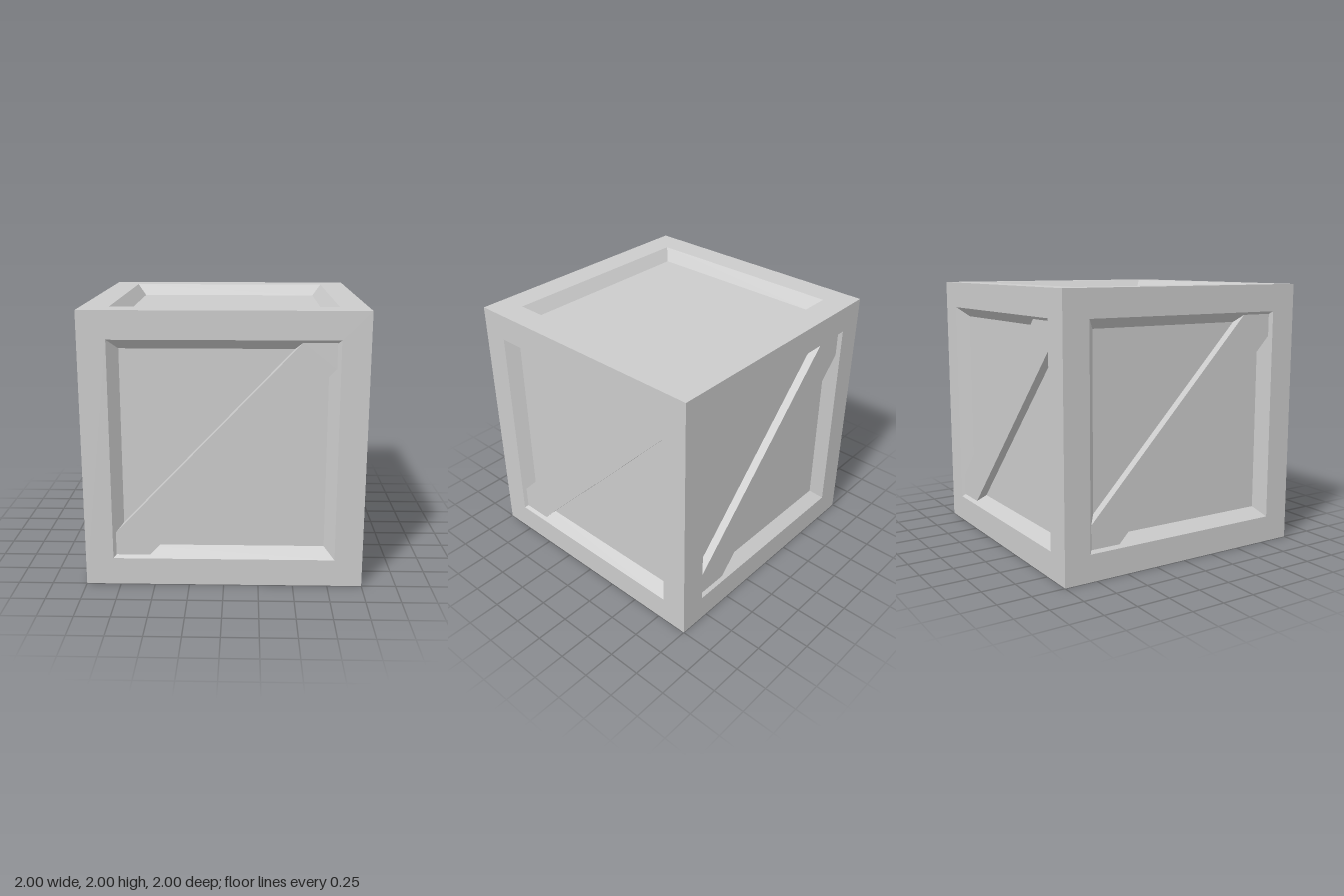
import * as THREE from 'three';

const material = new THREE.MeshStandardMaterial({ color: 0xcccccc, flatShading: true });

const OPENING = 0.8;   // half width of the opening in each frame
const PANEL = 0.727;   // half width of the sunken panel
const FLOOR = 0.913;   // distance of the panel from the crate centre
const BRACE_TOP = 0.976;

// Diagonal brace outlines, relative to the face centre
const frontBrace = [[-0.78, -0.78], [-0.537, -0.78], [0.775, 0.6], [0.775, 0.785], [0.545, 0.785], [-0.78, -0.61]];
const sideBrace = [[-0.785, -0.78], [-0.55, -0.78], [0.78, 0.615], [0.78, 0.785], [0.54, 0.785], [-0.785, -0.61]];

function addMesh(parent, name, geometry) {
  const mesh = new THREE.Mesh(geometry, material);
  mesh.name = name;
  parent.add(mesh);
}

// One face looking along +z: flat border, sloped recess walls, sunken panel, optional brace
function createFace(name, braceOutline) {
  const face = new THREE.Group();
  face.name = name;

  // A four-sided lathe makes the square border and its bevel
  const profile = [[1, 1], [OPENING, 1], [PANEL, FLOOR]]
    .map(([r, h]) => new THREE.Vector2(r * Math.SQRT2, h));
  addMesh(face, 'frame', new THREE.LatheGeometry(profile, 4, Math.PI / 4).rotateX(Math.PI / 2));

  addMesh(face, 'panel', new THREE.PlaneGeometry(PANEL * 2, PANEL * 2).translate(0, 0, FLOOR));

  if (braceOutline) {
    const shape = new THREE.Shape(braceOutline.map(([x, y]) => new THREE.Vector2(x, y)));
    const back = FLOOR - 0.01;
    const brace = new THREE.ExtrudeGeometry(shape, { depth: BRACE_TOP - back, bevelEnabled: false });
    addMesh(face, 'diagonalBrace', brace.translate(0, 0, back));
  }
  return face;
}

export function createModel() {
  const crate = new THREE.Group();
  crate.name = 'crate';

  // Four braced sides around the vertical axis
  ['frontFace', 'leftFace', 'backFace', 'rightFace'].forEach((name, i) => {
    const face = createFace(name, i % 2 ? sideBrace : frontBrace);
    face.rotation.y = i * Math.PI / 2;
    face.position.y = 1;
    crate.add(face);
  });

  // Plain lid and base
  [['topFace', -1], ['bottomFace', 1]].forEach(([name, sign]) => {
    const face = createFace(name);
    face.rotation.x = sign * Math.PI / 2;
    face.position.y = 1;
    crate.add(face);
  });

  return crate;
}
